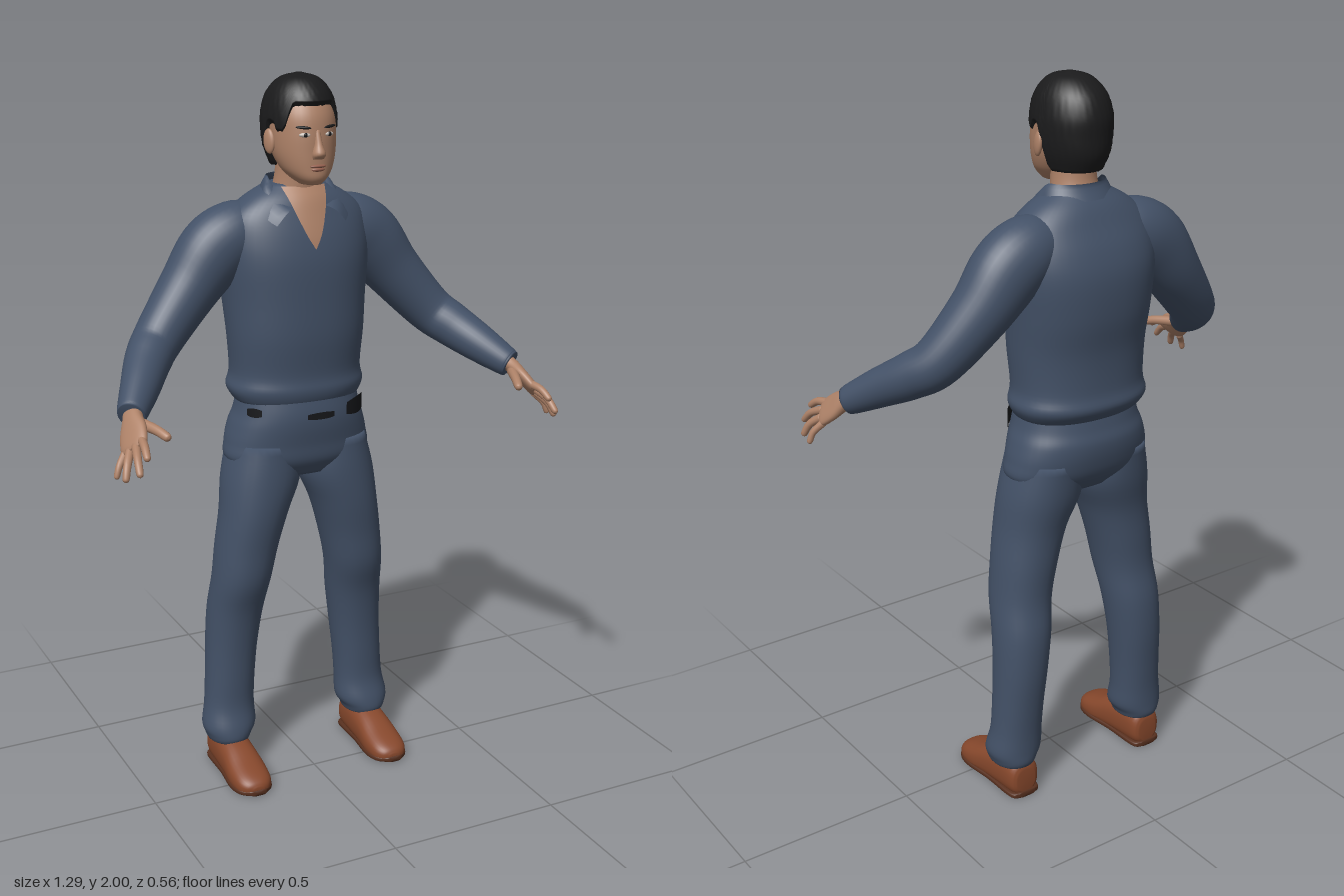
import * as THREE from 'three';

const mat = (name, color) => {
  const m = new THREE.MeshStandardMaterial({ color, side: THREE.DoubleSide });
  m.name = name;
  return m;
};
const V = (...p) => new THREE.Vector3(...p);
const DOWN = V(0, -1, 0);
const spow = (v, e) => Math.sign(v) * Math.abs(v) ** e;
const smooth = THREE.MathUtils.smoothstep;

// Closed body through sections [x, y, z, width radius, depth radius].
// axis fixes the section plane; otherwise sections follow the path.
function sweep(rows, { ref = V(1, 0, 0), axis = null, power = 2, rings = 30, sides = 32, end = () => 1, rough = 0, minY = -9 } = {}) {
  const path = new THREE.CatmullRomCurve3(rows.map(r => V(r[0], r[1], r[2])), false, 'catmullrom');
  const size = new THREE.CatmullRomCurve3(rows.map(r => V(r[3], r[4], 0)), false, 'catmullrom');
  const pos = [], idx = [];
  for (let i = 0; i <= rings; i++) {
    for (let j = 0; j < sides; j++) {
      const a = j / sides * Math.PI * 2;
      const s = i / rings * end(a);
      const t = axis || path.getTangent(s);
      const u = ref.clone().addScaledVector(t, -ref.dot(t)).normalize();
      const v = V().crossVectors(t, u);
      const r = size.getPoint(s);
      const bump = 1 + rough * Math.sin(j * 2.7 + i * 1.9) * Math.sin(i * 2.3 - j * 0.8);
      const p = path.getPoint(s)
        .addScaledVector(u, r.x * bump * spow(Math.cos(a), 2 / power))
        .addScaledVector(v, r.y * bump * spow(Math.sin(a), 2 / power));
      pos.push(p.x, Math.max(minY, p.y), p.z);
      const k = (j + 1) % sides, b = i * sides;
      if (i < rings) idx.push(b + j, b + k, b + sides + j, b + k, b + sides + k, b + sides + j);
    }
  }
  const first = pos.length / 3, last = rings * sides;
  pos.push(...path.getPoint(0).toArray(), ...path.getPoint(1).toArray());
  for (let j = 0; j < sides; j++) {
    const k = (j + 1) % sides;
    idx.push(first, k, j, first + 1, last + j, last + k);
  }
  return build(pos, idx);
}

function build(pos, idx) {
  const g = new THREE.BufferGeometry();
  g.setAttribute('position', new THREE.Float32BufferAttribute(pos, 3));
  g.setIndex(idx);
  g.computeVertexNormals();
  return g;
}

// Open sheet; f(u, v) returns a point
function sheet(f, nu, nv) {
  const pos = [], idx = [];
  for (let i = 0; i <= nu; i++) for (let j = 0; j <= nv; j++) {
    pos.push(...f(i / nu, j / nv));
    const a = i * (nv + 1) + j, b = a + nv + 1;
    if (i < nu && j < nv) idx.push(a, b, a + 1, b, b + 1, a + 1);
  }
  return build(pos, idx);
}

export function createModel() {
  const cloth = mat('blue grey cloth', 0x435167), skin = mat('skin', 0xae8268);
  const hairMat = mat('black hair', 0x1b1b1c), leather = mat('brown leather', 0x87482c);
  const soleMat = mat('dark sole', 0x57301f), white = mat('eye white', 0xc9c0b8);
  const lipMat = mat('lips', 0x94604f), black = mat('black belt', 0x17181b);

  const model = new THREE.Group();
  const add = (name, geo, m) => {
    const mesh = new THREE.Mesh(geo, m);
    mesh.name = name;
    model.add(mesh);
    return mesh;
  };
  const blob = (name, m, p, s) => {
    const b = add(name, new THREE.SphereGeometry(1, 20, 14), m);
    b.position.set(...p);
    b.scale.set(...s);
    return b;
  };
  const flip = (rows, s) => rows.map(([x, ...r]) => [x * s, ...r]);

  // Shirt body, bloused over the waist
  add('shirt', sweep([
    [0, 1.71, -0.122, 0.082, 0.055], [0, 1.675, -0.122, 0.145, 0.085], [0, 1.63, -0.125, 0.195, 0.107],
    [0, 1.57, -0.13, 0.212, 0.132], [0, 1.5, -0.132, 0.213, 0.147], [0, 1.4, -0.129, 0.203, 0.148],
    [0, 1.3, -0.121, 0.195, 0.141], [0, 1.2, -0.125, 0.188, 0.136], [0, 1.155, -0.127, 0.197, 0.142],
    [0, 1.125, -0.122, 0.184, 0.13], [0, 1.11, -0.118, 0.17, 0.115],
  ], { axis: DOWN, power: 2.25, rings: 50, sides: 48 }), cloth);

  // Trouser seat
  add('trouserSeat', sweep([
    [0, 1.14, -0.115, 0.172, 0.12], [0, 1.09, -0.116, 0.182, 0.13], [0, 1.05, -0.121, 0.197, 0.135],
    [0, 1.0, -0.122, 0.21, 0.129], [0, 0.95, -0.117, 0.21, 0.117], [0, 0.905, -0.112, 0.14, 0.085],
  ], { axis: DOWN, power: 2.25, sides: 48 }), cloth);

  // Open neck and throat
  add('neck', sweep([
    [0, 1.81, -0.1, 0.058, 0.06], [0, 1.74, -0.105, 0.06, 0.058], [0, 1.69, -0.112, 0.067, 0.062], [0, 1.62, -0.115, 0.08, 0.06],
  ], { axis: DOWN }), skin);
  const throat = new THREE.CatmullRomCurve3([
    V(0.064, 1.705, -0.052), V(0.055, 1.675, -0.03), V(0.04, 1.63, -0.011), V(0.02, 1.58, 0.006), V(0, 1.545, 0.014),
  ]);
  add('openNeckline', sheet((u, v) => {
    const p = throat.getPoint(v), x = (u * 2 - 1) * p.x;
    return [x, p.y, p.z - x * x * (1 + 3 * (1 - v))];
  }, 8, 12), skin);

  // Turned down collar with two front points
  add('collar', sheet((u, v) => {
    const a = THREE.MathUtils.lerp(0.58, Math.PI * 2 - 0.58, u);
    const f = Math.max(0, Math.cos(a)) ** 1.3;
    const top = [0.083 * Math.sin(a), 1.73 - 0.095 * f, -0.115 + (0.062 + 0.05 * f) * Math.cos(a)];
    const low = [(0.105 + 0.1 * f) * Math.sin(a), 1.69 - 0.1 * f, -0.115 + (0.082 + 0.05 * f) * Math.cos(a)];
    return top.map((c, i) => c + (low[i] - c) * v + (i ? 0.008 * Math.sin(v * Math.PI) : 0));
  }, 48, 4), cloth);

  // Belt pieces showing at the waist
  const band = (name, from, to, y, h) => add(name, sheet((u, v) => {
    const a = THREE.MathUtils.degToRad(from + (to - from) * u);
    const half = h / 2 * Math.sin(Math.PI * (0.15 + 0.7 * u)) ** 0.5;
    return [0.19 * spow(Math.cos(a), 0.89), y + half * (1 - 2 * v), -0.116 + 0.138 * spow(Math.sin(a), 0.89)];
  }, 12, 2), black);
  band('beltPouch', 62, 18, 1.092, 0.05);
  band('beltBuckle', 97, 76, 1.085, 0.02);
  band('beltEnd', 139, 157, 1.1, 0.026);

  // Head and face
  add('head', sweep([
    [0, 1.975, -0.09, 0.03, 0.04], [0, 1.95, -0.09, 0.066, 0.08], [0, 1.9, -0.086, 0.086, 0.104],
    [0, 1.85, -0.08, 0.088, 0.106], [0, 1.8, -0.068, 0.083, 0.095], [0, 1.76, -0.052, 0.069, 0.079],
    [0, 1.735, -0.038, 0.05, 0.064], [0, 1.717, -0.025, 0.028, 0.04],
  ], { axis: DOWN, power: 2.1, rings: 36, sides: 40 }), skin);
  add('nose', sweep([
    [0, 1.86, 0.016, 0.008, 0.01], [0, 1.825, 0.024, 0.011, 0.015], [0, 1.8, 0.029, 0.018, 0.021], [0, 1.786, 0.024, 0.016, 0.013],
  ], { axis: DOWN, rings: 14, sides: 18 }), skin);
  blob('upperLip', lipMat, [0, 1.767, 0.024], [0.023, 0.005, 0.008]);
  blob('lowerLip', lipMat, [0, 1.758, 0.022], [0.02, 0.006, 0.009]);

  // Short hair: forehead line, sideburns, gap at the ears, nape
  const hairline = a => {
    const s = Math.sin(a);
    const front = 0.4 + 0.24 * (1 - smooth(s, 0.58, 0.8));
    const ear = smooth(s, 0.3, 0.45);
    const back = 1 - smooth(s, -0.15, 0.12);
    return front * ear + 0.56 * (1 - ear) * (1 - back) + 0.97 * back;
  };
  add('hair', sweep([
    [0, 1.998, -0.09, 0.008, 0.01], [0, 1.985, -0.09, 0.05, 0.06], [0, 1.95, -0.093, 0.081, 0.1],
    [0, 1.9, -0.094, 0.096, 0.119], [0, 1.85, -0.094, 0.097, 0.119], [0, 1.8, -0.094, 0.089, 0.113],
    [0, 1.75, -0.094, 0.07, 0.088],
  ], { axis: DOWN, rings: 36, sides: 72, end: hairline, rough: 0.016 }), hairMat);

  for (const s of [1, -1]) {
    const side = s > 0 ? 'left' : 'right';

    // Eyes, brows, ears
    blob(side + 'Eye', white, [s * 0.035, 1.848, 0.017], [0.015, 0.006, 0.006]).rotation.y = s * 0.35;
    blob(side + 'Iris', black, [s * 0.034, 1.848, 0.021], [0.006, 0.006, 0.004]);
    const brow = blob(side + 'Brow', hairMat, [s * 0.038, 1.867, 0.016], [0.021, 0.004, 0.005]);
    brow.rotation.set(0, s * 0.38, s * 0.08);
    const ear = blob(side + 'Ear', skin, [s * 0.092, 1.825, -0.08], [0.01, 0.033, 0.02]);
    ear.rotation.set(-0.15, -s * 0.3, 0);

    // Sleeve reaching out, down and forward
    add(side + 'Sleeve', sweep(flip([
      [0.1, 1.59, -0.14, 0.07, 0.07], [0.17, 1.575, -0.14, 0.088, 0.092], [0.235, 1.53, -0.14, 0.088, 0.098],
      [0.31, 1.44, -0.133, 0.08, 0.082], [0.41, 1.325, -0.1, 0.067, 0.068], [0.46, 1.28, -0.05, 0.06, 0.063],
      [0.51, 1.235, 0.025, 0.05, 0.054], [0.555, 1.195, 0.09, 0.04, 0.042], [0.565, 1.187, 0.105, 0.035, 0.037],
    ], s), { ref: V(0, 0, 1), rings: 44 }), cloth);

    // Hand with palm, four fingers and thumb
    const across = V(s * 0.5, -0.5, -0.6);
    add(side + 'Palm', sweep(flip([
      [0.55, 1.2, 0.08, 0.026, 0.022], [0.565, 1.183, 0.115, 0.029, 0.02], [0.577, 1.16, 0.15, 0.042, 0.017],
      [0.588, 1.135, 0.185, 0.043, 0.015], [0.593, 1.125, 0.198, 0.034, 0.01],
    ], s), { ref: across, rings: 18, power: 2.3 }), skin);
    const fingers = {
      Thumb: [[0.555, 1.175, 0.13], [0.53, 1.168, 0.19], [0.512, 1.155, 0.235]],
      IndexFinger: [[0.572, 1.152, 0.195], [0.58, 1.145, 0.24], [0.587, 1.122, 0.278]],
      MiddleFinger: [[0.586, 1.138, 0.192], [0.6, 1.117, 0.242], [0.608, 1.083, 0.28]],
      RingFinger: [[0.598, 1.124, 0.182], [0.619, 1.097, 0.218], [0.632, 1.06, 0.238]],
      LittleFinger: [[0.606, 1.113, 0.168], [0.628, 1.087, 0.184], [0.64, 1.055, 0.19]],
    };
    for (const [name, [a, b, c]] of Object.entries(fingers)) {
      const r = name === 'Thumb' ? 0.013 : name === 'LittleFinger' ? 0.009 : 0.0105;
      const near = c.map((q, i) => q + (b[i] - q) * 0.18);
      add(side + name, sweep(flip([[...a, r * 1.15, r * 1.15], [...b, r, r], [...near, r * 0.85, r * 0.85], [...c, r * 0.25, r * 0.25]], s),
        { ref: across, rings: 14, sides: 12 }), skin);
    }

    // Trouser leg with a loose hem
    add(side + 'TrouserLeg', sweep(flip([
      [0.105, 1.0, -0.12, 0.095, 0.115], [0.114, 0.9, -0.112, 0.111, 0.113], [0.14, 0.8, -0.103, 0.097, 0.102],
      [0.162, 0.7, -0.106, 0.089, 0.095], [0.178, 0.6, -0.11, 0.083, 0.09], [0.19, 0.5, -0.132, 0.08, 0.083],
      [0.2, 0.39, -0.14, 0.075, 0.076], [0.208, 0.28, -0.138, 0.072, 0.069], [0.213, 0.2, -0.135, 0.073, 0.066],
      [0.218, 0.14, -0.127, 0.078, 0.073], [0.222, 0.11, -0.125, 0.066, 0.075], [0.222, 0.095, -0.125, 0.06, 0.07],
    ], s), { axis: DOWN, rings: 50, power: 2.15 }), cloth);

    // Shoe upper and sole
    add(side + 'Shoe', sweep(flip([
      [0.22, 0.05, -0.195, 0.03, 0.035], [0.22, 0.055, -0.18, 0.046, 0.055], [0.22, 0.055, -0.12, 0.05, 0.062],
      [0.22, 0.045, -0.05, 0.053, 0.055], [0.22, 0.03, 0.01, 0.057, 0.045], [0.22, 0.022, 0.06, 0.052, 0.034],
      [0.22, 0.02, 0.085, 0.036, 0.022], [0.22, 0.018, 0.095, 0.015, 0.01],
    ], s), { axis: V(0, 0, 1), power: 2.4, minY: 0.01 }), leather);
    add(side + 'Sole', sweep(flip([
      [0.22, 0.008, -0.2, 0.025, 0.008], [0.22, 0.008, -0.18, 0.047, 0.009], [0.22, 0.009, -0.07, 0.051, 0.009],
      [0.22, 0.009, 0.02, 0.06, 0.009], [0.22, 0.01, 0.07, 0.05, 0.009], [0.22, 0.012, 0.098, 0.02, 0.008],
    ], s), { axis: V(0, 0, 1), power: 4, minY: 0 }), soleMat);
  }
  return model;
}
